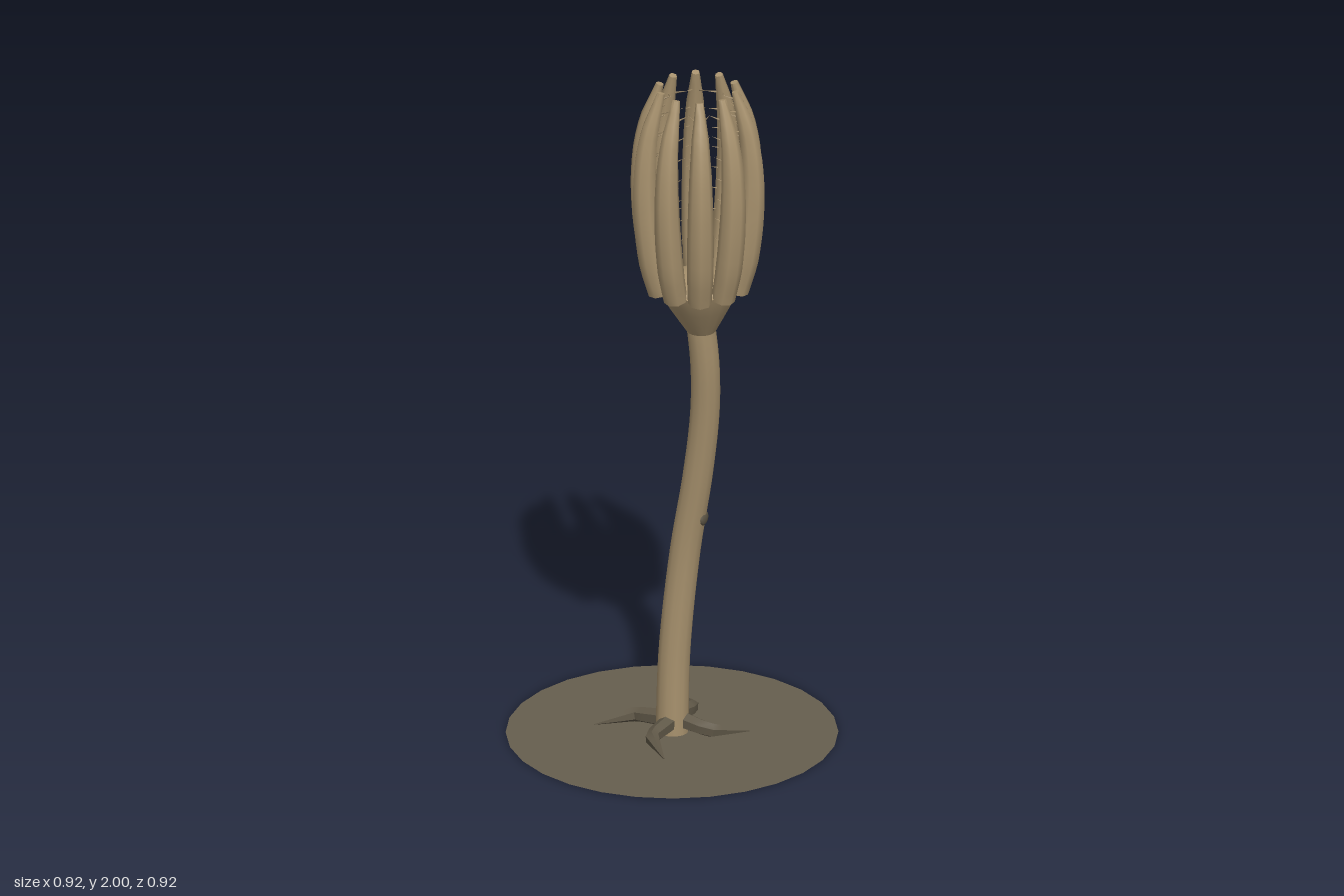
import * as THREE from 'three';
import { toCreasedNormals } from 'three/addons/utils/BufferGeometryUtils.js';

const V = (x, y, z) => new THREE.Vector3(x, y, z);

// Closed tube along a curve with a radius that follows a short list of values.
function taperedTube(curve, radii, rings, sides, crease = 0.9) {
  const frames = curve.computeFrenetFrames(rings);
  const pos = [], index = [];
  for (let i = 0; i <= rings; i++) {
    const t = i / rings, p = curve.getPointAt(t);
    const f = t * (radii.length - 1), k = Math.min(Math.floor(f), radii.length - 2);
    const r = THREE.MathUtils.lerp(radii[k], radii[k + 1], f - k);
    for (let j = 0; j < sides; j++) {
      const a = (j / sides) * Math.PI * 2;
      const v = p.clone()
        .addScaledVector(frames.normals[i], Math.cos(a) * r)
        .addScaledVector(frames.binormals[i], Math.sin(a) * r);
      pos.push(v.x, v.y, v.z);
      if (i < rings) {
        const n = (j + 1) % sides, b = i * sides, c = b + sides;
        index.push(b + j, b + n, c + j, b + n, c + n, c + j);
      }
    }
  }
  // End caps
  const first = pos.length / 3, start = curve.getPointAt(0), end = curve.getPointAt(1);
  pos.push(start.x, start.y, start.z, end.x, end.y, end.z);
  for (let j = 0; j < sides; j++) {
    const n = (j + 1) % sides, e = rings * sides;
    index.push(first, n, j, first + 1, e + j, e + n);
  }
  const g = new THREE.BufferGeometry();
  g.setAttribute('position', new THREE.Float32BufferAttribute(pos, 3));
  g.setIndex(index);
  return toCreasedNormals(g, crease);
}

export function createModel() {
  const model = new THREE.Group();
  model.name = 'seaLily';
  const tan = new THREE.MeshStandardMaterial({ color: 0xa8926e });
  tan.name = 'tan';
  const darkBrown = new THREE.MeshStandardMaterial({ color: 0x5f5747 });
  darkBrown.name = 'darkBrown';
  const seabed = new THREE.MeshStandardMaterial({ color: 0x665e4e, side: THREE.DoubleSide });
  seabed.name = 'seabed';

  const add = (parent, geo, mat, name) => {
    const m = new THREE.Mesh(geo, mat);
    m.name = name;
    parent.add(m);
    return m;
  };

  // Flat ground disc
  add(model, new THREE.CircleGeometry(0.46, 28).rotateX(-Math.PI / 2), seabed, 'groundDisc');

  // Curving stem
  const stemPath = new THREE.CatmullRomCurve3([
    V(0, 0.005, 0), V(0.005, 0.25, -0.005), V(0.03, 0.55, -0.022), V(0.075, 0.8, -0.032),
    V(0.108, 1.0, -0.03), V(0.125, 1.15, -0.016), V(0.128, 1.28, 0.002),
  ]);
  add(model, taperedTube(stemPath, [0.046, 0.043, 0.04], 28, 12), tan, 'stem');

  // Small dark scar on the stem
  const scar = add(model, new THREE.SphereGeometry(1, 8, 6), darkBrown, 'stemScar');
  scar.scale.set(0.026, 0.02, 0.008);
  scar.position.set(0.083, 0.66, -0.047);
  scar.rotation.y = Math.PI / 2 + 0.5;

  // Four bent roots gripping the ground
  const rootPath = new THREE.CurvePath();
  const rootPoints = [V(-0.01, 0.042, 0.012), V(-0.108, 0.03, 0.043), V(-0.152, 0.013, 0.152)];
  rootPath.add(new THREE.LineCurve3(rootPoints[0], rootPoints[1]));
  rootPath.add(new THREE.LineCurve3(rootPoints[1], rootPoints[2]));
  const rootGeo = taperedTube(rootPath, [0.026, 0.021, 0.002], 8, 6, 0.6);
  for (let i = 0; i < 4; i++) {
    add(model, rootGeo, darkBrown, 'root').rotation.y = (i * Math.PI) / 2;
  }

  // Crown: cup, dome and ten arms
  const crown = new THREE.Group();
  crown.name = 'crown';
  crown.position.set(0.135, 0, 0.018);
  model.add(crown);

  const cupProfile = [[0, 1.255], [0.04, 1.255], [0.06, 1.29], [0.085, 1.335], [0.105, 1.375], [0.114, 1.4], [0.1, 1.405]]
    .map(([r, y]) => new THREE.Vector2(r, y));
  const cupGeo = new THREE.LatheGeometry(cupProfile, 20);
  const p = cupGeo.attributes.position;
  for (let i = 0; i < p.count; i++) {
    // Lean the foot of the cup onto the stem
    const k = Math.max(0, (1.4 - p.getY(i)) / 0.14);
    p.setX(i, p.getX(i) - 0.007 * k);
    p.setZ(i, p.getZ(i) - 0.018 * k);
  }
  cupGeo.computeVertexNormals();
  add(crown, toCreasedNormals(cupGeo, 0.7), tan, 'cup');

  const dome = add(crown, new THREE.SphereGeometry(0.108, 20, 6, 0, Math.PI * 2, 0, Math.PI / 2), tan, 'dome');
  dome.scale.y = 0.35;
  dome.position.y = 1.4;

  const armPath = new THREE.CatmullRomCurve3([
    V(0.112, 1.395, 0), V(0.138, 1.5, 0), V(0.157, 1.7, 0), V(0.146, 1.86, 0), V(0.108, 1.995, 0),
  ]);
  const armGeo = taperedTube(armPath, [0.033, 0.037, 0.037, 0.035, 0.031, 0.024, 0.011], 18, 8);
  const pinnuleGeo = new THREE.ConeGeometry(0.004, 0.045, 4).translate(0, 0.0225, 0);
  const up = V(0, 1, 0);
  for (let i = 0; i < 10; i++) {
    const arm = new THREE.Group();
    arm.name = 'arm';
    arm.rotation.y = (i * Math.PI) / 5;
    crown.add(arm);
    add(arm, armGeo, tan, 'armBody');
    // Fine paired feelers on the inner side
    for (let k = 0; k < 7; k++) {
      const at = armPath.getPointAt(0.3 + k * 0.1);
      for (const s of [-1, 1]) {
        const feeler = add(arm, pinnuleGeo, tan, 'feeler');
        feeler.position.set(at.x - 0.006, at.y, s * 0.006);
        feeler.quaternion.setFromUnitVectors(up, V(-0.8, 0.25, s * 0.5).normalize());
      }
    }
  }
  return model;
}
